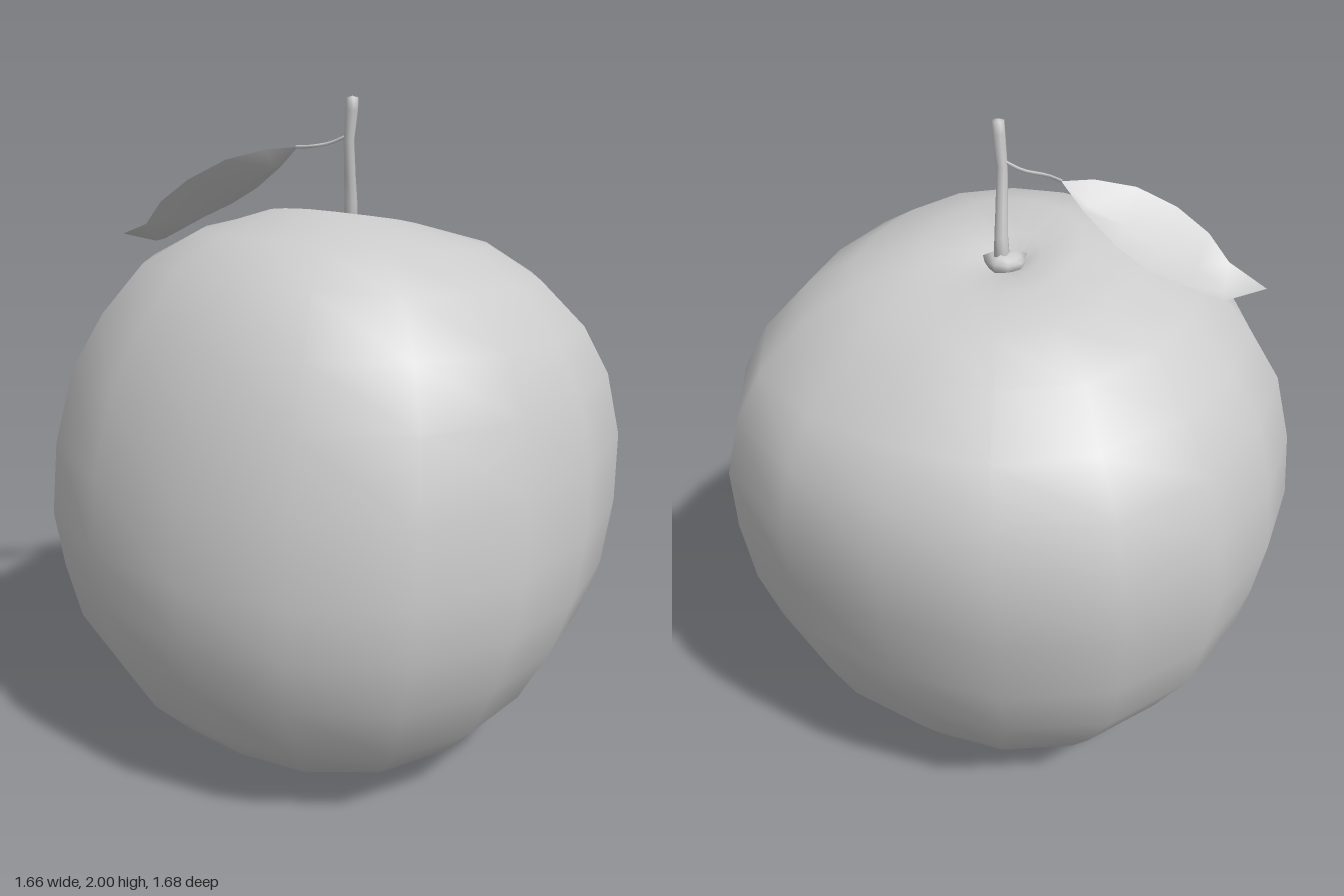
import * as THREE from 'three';

const material = () => new THREE.MeshStandardMaterial({ color: 0xcccccc });

// Closed smooth skin over rings listed from top to bottom, with an end point at each pole
function loft(rings, top, bottom) {
  const n = rings[0].length;
  const points = [...rings.flat(), top, bottom];
  const t = points.length - 2, b = points.length - 1, last = (rings.length - 1) * n;
  const index = [];
  for (let i = 0; i < n; i++) {
    const j = (i + 1) % n;
    index.push(t, j, i, b, last + i, last + j);
    for (let r = 0; r < rings.length - 1; r++) {
      const p = r * n, q = p + n;
      index.push(p + i, p + j, q + i, p + j, q + j, q + i);
    }
  }
  return skin(points, index);
}

function skin(points, index) {
  const g = new THREE.BufferGeometry().setFromPoints(points);
  g.setIndex(index);
  g.computeVertexNormals();
  return g;
}

// Ring of n points; f maps an angle to a position
const ring = (n, f, offset = 0) =>
  Array.from({ length: n }, (_, i) => f(offset + (i / n) * Math.PI * 2, i));

const v = (x, y, z) => new THREE.Vector3(x, y, z);

function makeFruit() {
  // left x, left y, right x, right y, front z, back z, front rise
  const sections = [
    [0.04, 1.605, 0.14, 1.59, 0.02, -0.08, 0],
    [-0.01, 1.65, 0.2, 1.59, 0.08, -0.13, 0],
    [-0.16, 1.695, 0.29, 1.585, 0.22, -0.23, 0.008],
    [-0.40, 1.64, 0.45, 1.545, 0.43, -0.40, 0],
    [-0.55, 1.55, 0.57, 1.45, 0.59, -0.56, 0],
    [-0.66, 1.40, 0.71, 1.32, 0.71, -0.69, 0],
    [-0.745, 1.23, 0.79, 1.19, 0.785, -0.785, 0],
    [-0.81, 1.0, 0.83, 1.02, 0.83, -0.83, 0],
    [-0.835, 0.78, 0.81, 0.82, 0.84, -0.84, 0],
    [-0.825, 0.62, 0.765, 0.6, 0.82, -0.80, 0],
    [-0.79, 0.45, 0.70, 0.42, 0.765, -0.75, 0],
    [-0.69, 0.25, 0.61, 0.26, 0.67, -0.63, 0],
    [-0.57, 0.125, 0.50, 0.13, 0.55, -0.52, 0],
    [-0.38, 0.04, 0.37, 0.06, 0.42, -0.39, 0],
    [-0.2, 0.012, 0.2, 0.018, 0.2, -0.2, 0],
    [-0.08, 0.002, 0.08, 0.002, 0.08, -0.08, 0],
  ];
  const rings = sections.map(([xl, yl, xr, yr, zf, zb, rise]) =>
    ring(16, (a) => {
      const c = Math.cos(a), s = Math.sin(a);
      const full = 1 + 0.06 * Math.sin(2 * a) ** 2; // slightly squared plan
      return v(
        (xl + xr) / 2 + ((xr - xl) / 2) * c * full,
        (yl + yr) / 2 + ((yr - yl) / 2) * c + rise * s,
        (zf + zb) / 2 + ((zf - zb) / 2) * s * full
      );
    }, -0.06));
  return loft(rings, v(0.09, 1.585, -0.03), v(0, 0, 0));
}

function makeStem() {
  // x, y, z, radius
  const path = [
    [0.06, 1.995, 0.01, 0.018], [0.06, 1.96, 0.008, 0.019], [0.063, 1.87, -0.004, 0.016],
    [0.08, 1.76, -0.012, 0.018], [0.098, 1.68, -0.02, 0.02], [0.102, 1.6, -0.025, 0.024],
  ];
  const rings = path.map(([x, y, z, r]) =>
    ring(8, (a) => v(x + r * Math.cos(a), y, z + r * Math.sin(a))));
  return loft(rings, v(0.06, 2, 0.01), v(0.1, 1.59, -0.025));
}

function makeCalyx() {
  // height, radius, depth of the notches between the five lobes
  const layers = [[1.635, 0.028, 0], [1.627, 0.045, 0.08], [1.617, 0.066, 0.16], [1.59, 0.06, 0.16]];
  const rings = layers.map(([y, r, notch]) =>
    ring(10, (a, i) => {
      const k = r * (i % 2 ? 1 - notch : 1);
      return v(0.09 + k * Math.cos(a), y - (i % 2 ? 0.008 : 0), -0.03 + k * Math.sin(a));
    }));
  return loft(rings, v(0.095, 1.635, -0.03), v(0.09, 1.58, -0.03));
}

function makeLeaf() {
  // Matching points on the two edges, from base to tip
  const edges = [
    [v(-0.04, 1.84, -0.235), v(0.05, 1.78, -0.25)],
    [v(-0.12, 1.81, -0.33), v(0.067, 1.705, -0.36)],
    [v(-0.18, 1.75, -0.43), v(0.05, 1.65, -0.45)],
    [v(-0.207, 1.68, -0.52), v(0.0, 1.605, -0.53)],
    [v(-0.21, 1.605, -0.585), v(-0.09, 1.54, -0.62)],
  ];
  const points = [v(0.03, 1.845, -0.17)];
  // The midrib sinks a little below the edges
  for (const [l, r] of edges) {
    const mid = l.clone().add(r).multiplyScalar(0.5);
    mid.y -= 0.03;
    points.push(l, mid, r);
  }
  const tip = points.push(v(-0.185, 1.56, -0.71)) - 1;
  const index = [0, 2, 1, 0, 3, 2];
  for (let s = 0; s < edges.length - 1; s++) {
    for (let k = 1; k <= 2; k++) {
      const a = s * 3 + k;
      index.push(a, a + 1, a + 3, a + 1, a + 4, a + 3);
    }
  }
  index.push(tip - 3, tip - 2, tip, tip - 2, tip - 1, tip);
  return skin(points, index);
}

export function createModel() {
  const group = new THREE.Group();
  group.name = 'fruit with leaf';
  const add = (name, geometry) => {
    const mesh = new THREE.Mesh(geometry, material());
    mesh.name = name;
    group.add(mesh);
    return mesh;
  };

  add('fruitBody', makeFruit());
  add('stem', makeStem());
  add('calyx', makeCalyx());

  // Thin stalk joining the leaf to the stem
  const stalk = new THREE.CatmullRomCurve3([
    v(0.063, 1.885, -0.01), v(0.045, 1.862, -0.06), v(0.018, 1.85, -0.12), v(0.03, 1.845, -0.175),
  ]);
  add('leafStalk', new THREE.TubeGeometry(stalk, 8, 0.005, 5));
  add('leaf', makeLeaf()).material.side = THREE.DoubleSide;

  return group;
}
